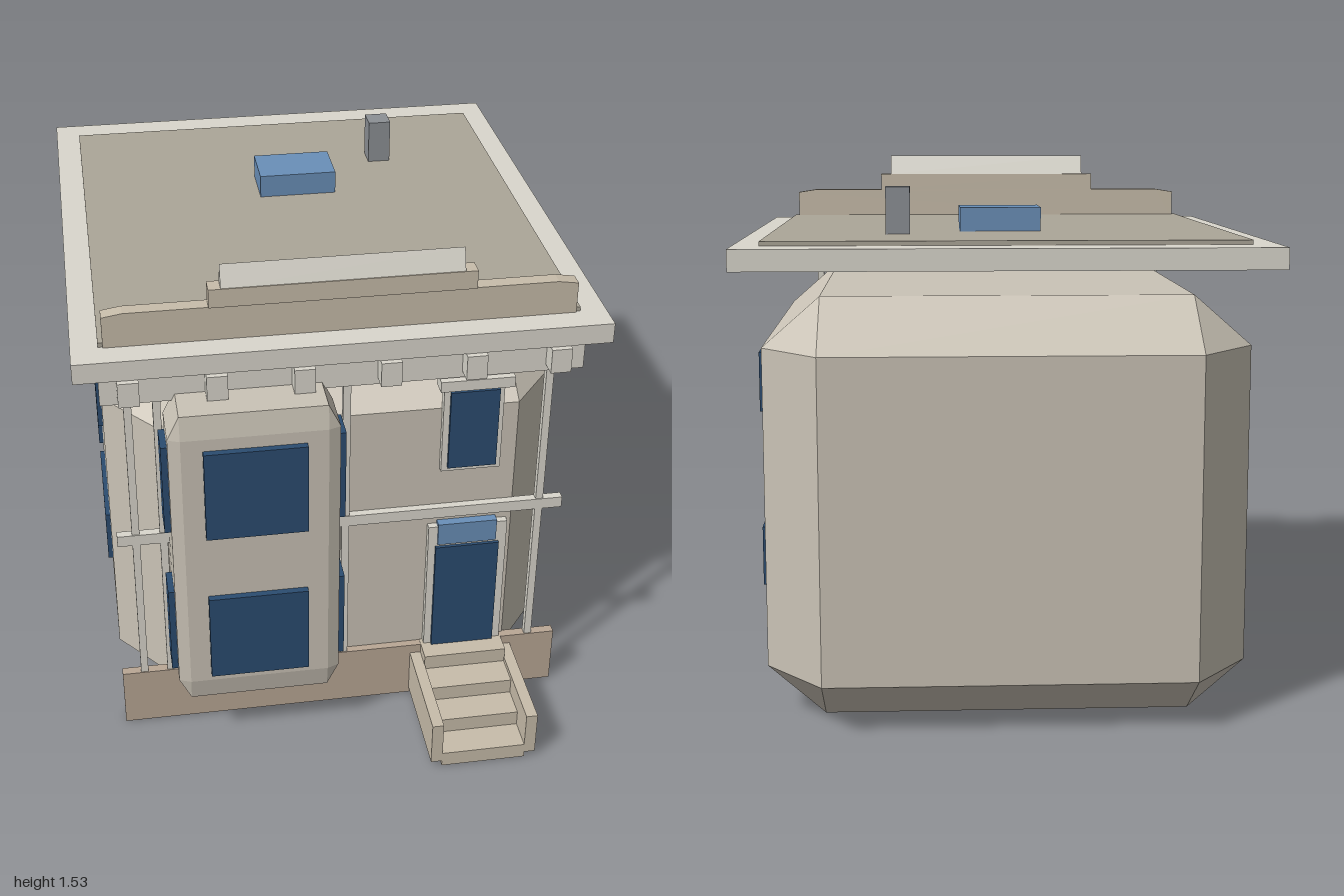
import * as THREE from 'three';
import { ConvexGeometry } from 'three/addons/geometries/ConvexGeometry.js';

const mat = (color) => new THREE.MeshStandardMaterial({ color, flatShading: true });
const M = {
  wall: mat(0xcac3b6), trim: mat(0xdad7cd), roof: mat(0xaca698), base: mat(0xb9a795),
  stone: mat(0xc8bdaa), glass: mat(0x2b4c70), pale: mat(0x6a8fb8), flue: mat(0x8c9095),
};

export function createModel() {
  const house = new THREE.Group();
  house.name = 'house';

  function add(name, geometry, material, parent = house) {
    const mesh = new THREE.Mesh(geometry, material);
    mesh.name = name;
    parent.add(mesh);
    return mesh;
  }
  function group(name) {
    const g = new THREE.Group();
    g.name = name;
    house.add(g);
    return g;
  }
  // Box given by its limits on each axis
  function box(name, [x0, x1], [y0, y1], [z0, z1], material, parent) {
    const mesh = add(name, new THREE.BoxGeometry(x1 - x0, y1 - y0, z1 - z0), material, parent);
    mesh.position.set((x0 + x1) / 2, (y0 + y1) / 2, (z0 + z1) / 2);
    return mesh;
  }
  // Box with every edge chamfered by a per-axis amount
  function chamferBox(name, [x0, x1], [y0, y1], [z0, z1], [bx, by, bz], material) {
    const h = [(x1 - x0) / 2, (y1 - y0) / 2, (z1 - z0) / 2];
    const b = [bx, by, bz];
    const points = [];
    for (const sx of [-1, 1]) for (const sy of [-1, 1]) for (const sz of [-1, 1]) {
      const s = [sx, sy, sz];
      for (let full = 0; full < 3; full++) {
        points.push(new THREE.Vector3(...s.map((v, i) => v * (i === full ? h[i] : h[i] - b[i]))));
      }
    }
    const mesh = add(name, new ConvexGeometry(points), material);
    mesh.position.set((x0 + x1) / 2, (y0 + y1) / 2, (z0 + z1) / 2);
  }
  // Outline in x and y, extruded from z0 to z1
  function slab(name, outline, z0, z1, material, parent) {
    const shape = new THREE.Shape(outline.map(([x, y]) => new THREE.Vector2(x, y)));
    const mesh = add(name, new THREE.ExtrudeGeometry(shape, { depth: z1 - z0, bevelEnabled: false }), material, parent);
    mesh.position.z = z0;
    return mesh;
  }

  // Main block, bay and plinth
  chamferBox('mainBody', [-0.67, 0.67], [0, 1.175], [-1, 0.645], [0.16, 0.14, 0.2], M.wall);
  chamferBox('bay', [-0.507, -0.033], [0.19, 1.175], [0.645, 0.813], [0.034, 0.07, 0.013], M.wall);
  box('plinth', [-0.67, 0.67], [0, 0.188], [0.64, 0.668], M.base);

  // Windows in the side walls
  const sideWindows = group('sideWindows');
  for (const x of [-0.67, 0.67]) for (const z of [0.12, -0.54]) for (const y of [0.435, 0.93]) {
    box('sideWindow', [x - 0.014, x + 0.014], [y - 0.083, y + 0.083], [z - 0.18, z + 0.18], M.glass, sideWindows);
  }

  // Windows round the bay, on two floors
  const bayWindows = group('bayWindows');
  for (const y of [0.29, 0.785]) {
    box('bayFrontWindow', [-0.413, -0.127], [y, y + 0.283], [0.8, 0.833], M.glass, bayWindows);
    box('bayOuterWindow', [-0.525, -0.495], [y, y + 0.283], [0.685, 0.78], M.glass, bayWindows);
    box('bayInnerWindow', [-0.045, -0.014], [y, y + 0.283], [0.685, 0.78], M.glass, bayWindows);
  }

  // Small upper window with frame and lintel
  const upper = group('upperWindow');
  box('windowFrame', [0.285, 0.46], [0.83, 1.13], [0.64, 0.664], M.trim, upper);
  box('windowPane', [0.303, 0.445], [0.845, 1.1], [0.645, 0.674], M.glass, upper);
  box('windowLintel', [0.268, 0.481], [1.115, 1.148], [0.64, 0.69], M.trim, upper);

  // Door with frame and fanlight
  const door = group('doorway');
  box('doorFrame', [0.257, 0.495], [0.188, 0.632], [0.64, 0.666], M.trim, door);
  box('doorLeaf', [0.279, 0.471], [0.188, 0.562], [0.645, 0.676], M.glass, door);
  box('fanlight', [0.285, 0.462], [0.57, 0.643], [0.645, 0.672], M.pale, door);

  // Posts and belt across the front
  const posts = group('frontPosts');
  for (const x of [-0.603, -0.523, 0.007, 0.588]) {
    box('post', [x - 0.011, x + 0.011], [0.188, 1.16], [0.643, 0.665], M.trim, posts);
  }
  box('belt', [-0.657, 0.657], [0.667, 0.702], [0.643, 0.668], M.trim);

  // Cornice with brackets
  const cornice = group('cornice');
  box('frieze', [-0.677, 0.677], [1.155, 1.25], [0.64, 0.68], M.trim, cornice);
  for (let i = 0; i < 6; i++) {
    const x = -0.599 + i * 0.239;
    box('bracket', [x - 0.029, x + 0.029], [1.176, 1.25], [0.64, 0.732], M.trim, cornice);
  }

  // Flat roof
  box('roofSlab', [-0.745, 0.745], [1.25, 1.31], [-0.91, 0.715], M.trim);
  box('roofDeck', [-0.67, 0.67], [1.3, 1.323], [-0.795, 0.63], M.roof);
  box('skylight', [-0.12, 0.118], [1.31, 1.393], [-0.378, -0.215], M.pale);
  box('flue', [0.265, 0.335], [1.31, 1.458], [-0.507, -0.433], M.flue);

  // Stepped parapet with a ridged cap
  const parapet = group('parapet');
  slab('parapetWall', [[-0.657, 1.31], [0.657, 1.31], [0.657, 1.402], [0.6, 1.411], [-0.6, 1.411], [-0.657, 1.402]],
    0.592, 0.636, M.stone, parapet);
  box('parapetStep', [-0.369, 0.369], [1.41, 1.465], [0.589, 0.64], M.stone, parapet);
  const cap = slab('parapetCap', [[-0.022, 1.465], [0.022, 1.465], [0, 1.528]], -0.335, 0.335, M.trim, parapet);
  cap.rotation.y = Math.PI / 2;
  cap.position.set(-0.335, 0, 0.615);

  // Front steps between two cheek walls
  const stairs = group('frontSteps');
  for (let i = 0; i < 4; i++) {
    box('step', [0.248, 0.5], [i * 0.0475, (i + 1) * 0.0475], [0.91 - i * 0.09, 1 - i * 0.09], M.stone, stairs);
  }
  for (const x of [0.215, 0.498]) {
    box('cheekWall', [x, x + 0.034], [0.018, 0.158], [0.645, 1], M.stone, stairs);
  }
  return house;
}
